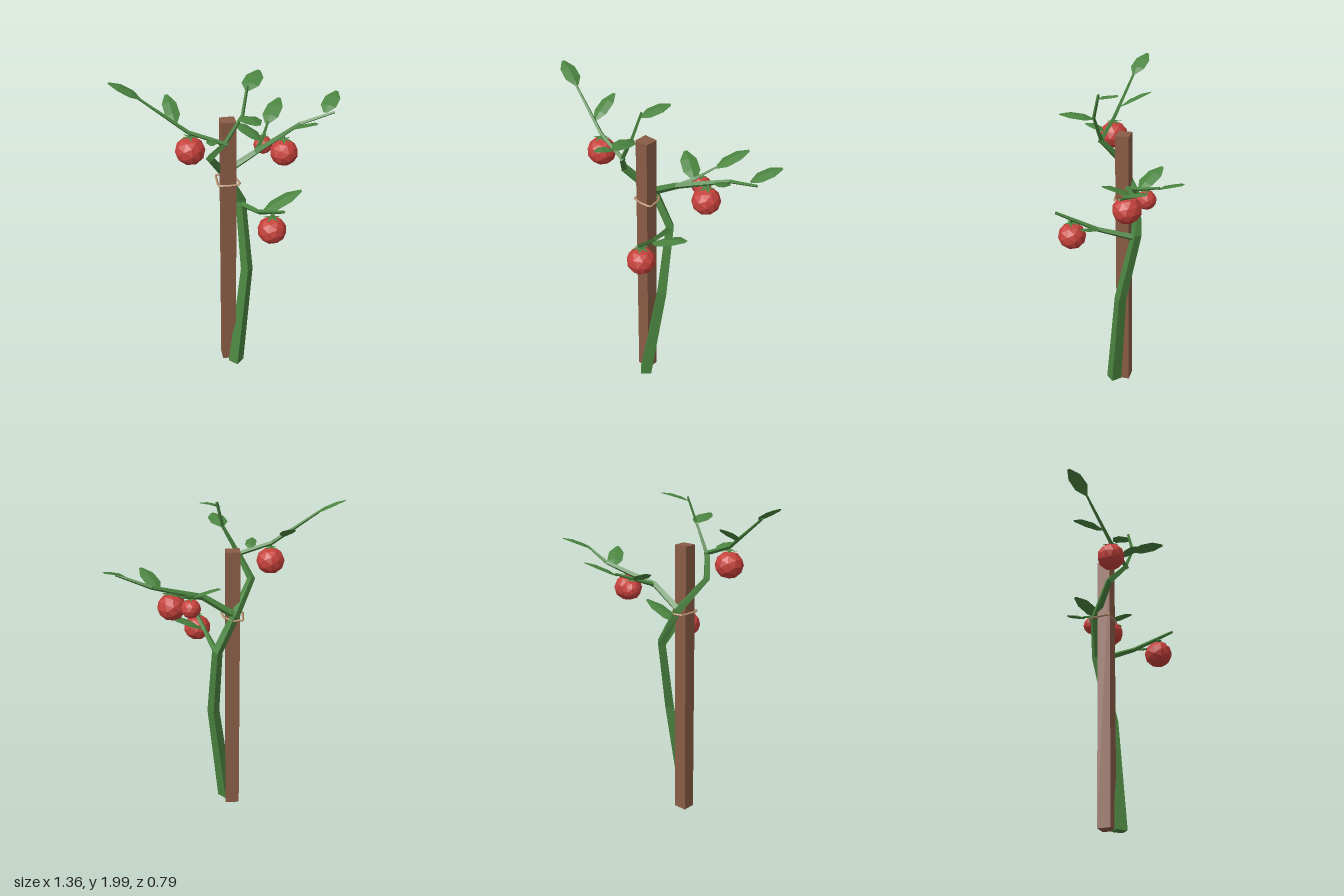
import * as THREE from 'three';

const V = (a) => new THREE.Vector3(...a);
const mat = (name, color, extra = {}) => {
  const m = new THREE.MeshStandardMaterial({ color, flatShading: true, ...extra });
  m.name = name;
  return m;
};

function toGeometry(positions, index) {
  const g = new THREE.BufferGeometry();
  g.setAttribute('position', new THREE.Float32BufferAttribute(positions, 3));
  g.setIndex(index);
  const flat = g.toNonIndexed();
  flat.computeVertexNormals();
  return flat;
}

// Tapered diamond-section stalk through points [x, y, z, radius]
function stalk(points, refAxis, startDir) {
  const p = points.map((q) => V(q.slice(0, 3)));
  const pos = [], idx = [], last = p.length - 1;
  p.forEach((c, i) => {
    const t = new THREE.Vector3();
    if (i > 0) t.add(c.clone().sub(p[i - 1]).normalize());
    if (i < last) t.add(p[i + 1].clone().sub(c).normalize());
    if (i === 0 && startDir) t.copy(V(startDir));
    t.normalize();
    const u = V(refAxis).addScaledVector(t, -V(refAxis).dot(t)).normalize();
    const w = t.clone().cross(u);
    for (let k = 0; k < 4; k++) {
      const a = (k * Math.PI) / 2;
      const v = c.clone().addScaledVector(u, Math.cos(a) * points[i][3]).addScaledVector(w, Math.sin(a) * points[i][3]);
      pos.push(v.x, v.y, v.z);
    }
  });
  for (let i = 0; i < last; i++) {
    for (let k = 0; k < 4; k++) {
      const a = i * 4 + k, b = i * 4 + ((k + 1) % 4);
      idx.push(a, b, b + 4, a, b + 4, a + 4);
    }
  }
  const e = last * 4;
  idx.push(0, 2, 1, 0, 3, 2, e, e + 1, e + 2, e, e + 2, e + 3);
  return toGeometry(pos, idx);
}

// Folded leaf from base to tip, its width lying level
function leaf(base, tip, width) {
  const a = V(base), b = V(tip);
  const dir = b.clone().sub(a);
  const side = dir.clone().cross(V([0, 1, 0])).normalize();
  const normal = side.clone().cross(dir).normalize();
  const sections = [[0, 0.1, 0], [0.28, 0.46, 0.012], [0.68, 0.45, 0.012], [1, 0.1, 0]];
  const pos = [], idx = [];
  for (const [t, w, lift] of sections) {
    for (const s of [-1, 0, 1]) {
      const v = a.clone().addScaledVector(dir, t).addScaledVector(side, s * w * width)
        .addScaledVector(normal, lift - Math.abs(s) * w * width * 0.2);
      pos.push(v.x, v.y, v.z);
    }
  }
  for (let i = 0; i < sections.length - 1; i++) {
    for (const k of [0, 1]) {
      const n = i * 3 + k;
      idx.push(n, n + 1, n + 4, n, n + 4, n + 3);
    }
  }
  return toGeometry(pos, idx);
}

// Star of five sepals with raised centre
function sepals(r) {
  const pos = [0, 0, 0], idx = [];
  for (let k = 0; k < 10; k++) {
    const a = (k * Math.PI) / 5, d = k % 2 ? r * 0.22 : r * 0.62;
    pos.push(Math.sin(a) * d, k % 2 ? 0 : -r * 0.08, Math.cos(a) * d);
    idx.push(0, k + 1, ((k + 1) % 10) + 1);
  }
  return toGeometry(pos, idx);
}

export function createModel() {
  const root = new THREE.Group();
  root.name = 'stakedFruitPlant';
  const wood = mat('stakeBrown', 0x8a5c46);
  const green = mat('stemGreen', 0x4b8440);
  const leafGreen = mat('leafGreen', 0x4b8440, { side: THREE.DoubleSide });
  const red = mat('fruitRed', 0xc5413b);
  const twine = mat('twineTan', 0xb38d6b);

  const add = (name, geometry, material, parent = root) => {
    const m = new THREE.Mesh(geometry, material);
    m.name = name;
    parent.add(m);
    return m;
  };

  // Support stake
  add('stake', new THREE.BoxGeometry(0.085, 1.7, 0.08), wood).position.set(-0.0425, 0.86, 0.04);

  // Main stem, bending around the back of the stake and up its right side
  const X = [1, 0, 0], Y = [0, 1, 0];
  add('mainStem', stalk([
    [-0.003, 0.005, 0.1, 0.048], [0.075, 0.68, 0.032, 0.037], [0.052, 1.12, -0.06, 0.032],
    [-0.05, 1.33, -0.035, 0.028], [-0.155, 1.515, 0.105, 0.024], [-0.085, 1.64, 0.19, 0.017],
  ], X, Y), green);

  // Side branches and twigs
  const branches = {
    upperTwig: [[-0.09, 1.63, 0.185, 0.014], [0.01, 1.81, 0.2, 0.01], [0.043, 1.96, 0.16, 0.008]],
    rightBranch: [[-0.07, 1.635, 0.19, 0.014], [-0.28, 1.715, 0.16, 0.012], [-0.54, 1.915, 0.103, 0.007]],
    leftBranch: [[-0.05, 1.34, -0.03, 0.024], [0.13, 1.455, -0.03, 0.02], [0.42, 1.56, -0.14, 0.012], [0.62, 1.63, -0.115, 0.008]],
    leftTwig: [[0.13, 1.455, -0.03, 0.014], [0.19, 1.49, -0.12, 0.011], [0.25, 1.54, -0.24, 0.007]],
    frontBranch: [[0.05, 1.1, -0.06, 0.022], [0.12, 1.165, 0.16, 0.015], [0.212, 1.29, 0.38, 0.009]],
  };
  for (const [name, pts] of Object.entries(branches)) {
    add(name, stalk(pts, name === 'upperTwig' ? X : Y), green);
  }

  // Leaves: base, tip, width
  const leaves = [
    [[-0.52, 1.905, 0.105], [-0.68, 1.99, 0.06], 0.1],
    [[-0.345, 1.76, 0.14], [-0.37, 1.855, -0.04], 0.09],
    [[-0.15, 1.67, 0.19], [-0.175, 1.7, 0.31], 0.07],
    [[0.012, 1.805, 0.2], [0.06, 1.835, 0.385], 0.11],
    [[0.04, 1.935, 0.165], [0.13, 1.99, 0.03], 0.11],
    [[0.135, 1.17, 0.175], [0.368, 1.28, 0.15], 0.12],
    [[0.19, 1.485, -0.11], [0.035, 1.57, -0.205], 0.11],
    [[0.38, 1.54, -0.125], [0.485, 1.625, 0.015], 0.1],
    [[0.24, 1.53, -0.235], [0.35, 1.62, -0.39], 0.11],
    [[0.565, 1.625, -0.13], [0.67, 1.695, -0.265], 0.105],
  ];
  leaves.forEach(([a, b, w], i) => add(`leaf${i + 1}`, leaf(a, b, w), leafGreen));

  // Fruits hanging from the branches: centre, radius, stalk top
  const fruits = [
    [[-0.272, 1.605, 0.163], 0.084, [-0.272, 1.71, 0.163]],
    [[0.312, 1.416, -0.073], 0.084, [0.312, 1.52, -0.1]],
    [[0.203, 1.435, -0.155], 0.058, [0.203, 1.5, -0.15]],
    [[0.165, 1.127, 0.3], 0.084, [0.175, 1.24, 0.3]],
  ];
  fruits.forEach(([c, r, top], i) => {
    const g = new THREE.Group();
    g.name = `fruit${i + 1}`;
    root.add(g);
    const body = add('fruitBody', new THREE.IcosahedronGeometry(r, 1), red, g);
    body.position.set(...c);
    body.scale.y = 0.95;
    body.rotation.y = i * 0.7;
    const crown = add('sepals', sepals(r), leafGreen, g);
    crown.position.set(c[0], c[1] + r * 1.02, c[2]);
    crown.rotation.y = i;
    add('fruitStalk', stalk([[c[0], c[1] + r * 0.9, c[2], 0.007], [...top, 0.006]], X), green, g);
  });

  // Twine loop tying the stem to the stake
  const loop = [[-0.1, -0.05], [-0.045, -0.062], [0.008, -0.01], [0.025, 0.08], [-0.04, 0.088], [-0.105, 0.08]];
  const path = new THREE.CurvePath();
  loop.forEach(([x, z], i) => {
    const [nx, nz] = loop[(i + 1) % loop.length];
    path.add(new THREE.LineCurve3(V([x, 1.315, z]), V([nx, 1.315, nz])));
  });
  add('twineLoop', new THREE.TubeGeometry(path, 36, 0.007, 4, true), twine);

  return root;
}
